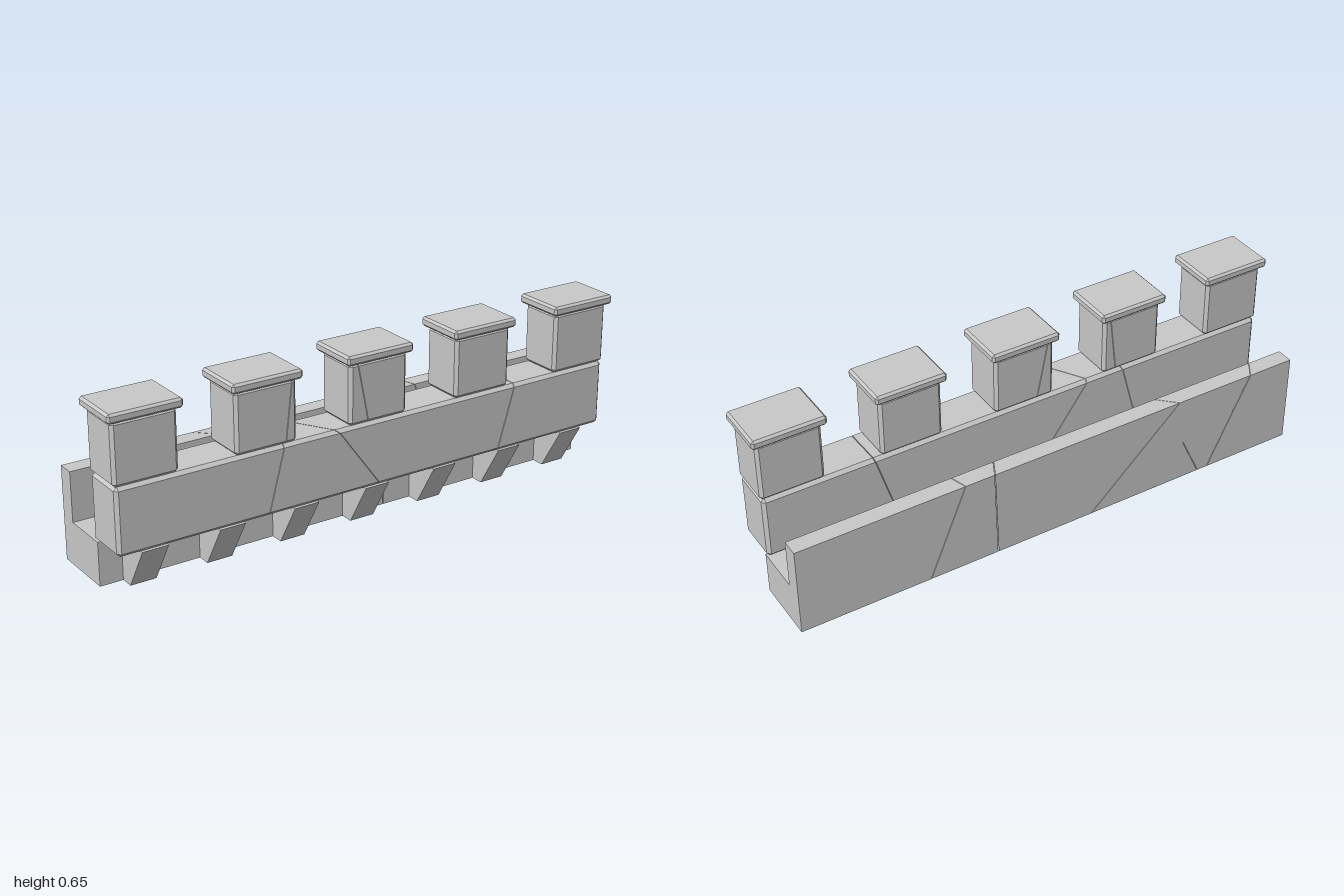
import * as THREE from 'three';

const GAP = 0.0025; // width of the fracture gaps

// A fracture plane or end plane: x = a + b*y + c*z
const plane = (a, b = 0, c = 0) => (z, y) => a + b * y + c * z;

// Rectangular cross-section in (z, y) with cut corners
function section(z0, z1, y0, y1, b = 0) {
  if (!b) return [[z1, y0], [z0, y0], [z0, y1], [z1, y1]];
  return [
    [z1 - b, y0], [z0 + b, y0], [z0, y0 + b], [z0, y1 - b],
    [z0 + b, y1], [z1 - b, y1], [z1, y1 - b], [z1, y0 + b],
  ];
}

// Loft a convex section along x between two planes; bevelled ends shrink inward
function loft(points, left, right, bevelLeft = 0, bevelRight = 0) {
  const zs = points.map(p => p[0]), ys = points.map(p => p[1]);
  const shrink = b => points.map(([z, y]) => [
    THREE.MathUtils.clamp(z, Math.min(...zs) + b, Math.max(...zs) - b),
    THREE.MathUtils.clamp(y, Math.min(...ys) + b, Math.max(...ys) - b),
  ]);
  const ring = (pts, at, dx) => pts.map(([z, y]) => new THREE.Vector3(at(z, y) + dx, y, z));
  const rings = [];
  if (bevelLeft) rings.push(ring(shrink(bevelLeft), left, 0));
  rings.push(ring(points, left, bevelLeft));
  rings.push(ring(points, right, -bevelRight));
  if (bevelRight) rings.push(ring(shrink(bevelRight), right, 0));

  const out = [];
  const tri = (...v) => v.forEach(p => out.push(p.x, p.y, p.z));
  const n = points.length;
  for (let i = 0; i + 1 < rings.length; i++) {
    for (let j = 0; j < n; j++) {
      const k = (j + 1) % n, A = rings[i], B = rings[i + 1];
      tri(A[j], A[k], B[k]);
      tri(A[j], B[k], B[j]);
    }
  }
  const first = rings[0], last = rings[rings.length - 1];
  for (let j = 1; j + 1 < n; j++) {
    tri(first[0], first[j + 1], first[j]);
    tri(last[0], last[j], last[j + 1]);
  }
  const geometry = new THREE.BufferGeometry();
  geometry.setAttribute('position', new THREE.Float32BufferAttribute(out, 3));
  geometry.computeVertexNormals();
  return geometry;
}

export function createModel() {
  const model = new THREE.Group();
  model.name = 'battlement';
  const stone = new THREE.MeshStandardMaterial({ color: 0xc8c8c8 });
  stone.name = 'paleGreyStone';

  // A block broken into pieces along a list of fracture planes, left to right
  function brokenBlock(name, points, x0, x1, cracks = [], bevel = 0) {
    const group = new THREE.Group();
    group.name = name;
    const cuts = [plane(x0), ...cracks, plane(x1)];
    const last = cuts.length - 2;
    for (let i = 0; i <= last; i++) {
      const left = i === 0 ? cuts[i] : (z, y) => cuts[i](z, y) + GAP / 2;
      const right = i === last ? cuts[i + 1] : (z, y) => cuts[i + 1](z, y) - GAP / 2;
      const geometry = loft(points, left, right, i === 0 ? bevel : 0, i === last ? bevel : 0);
      const mesh = new THREE.Mesh(geometry, stone);
      mesh.name = name + 'Piece';
      group.add(mesh);
    }
    model.add(group);
  }

  // Fractures running through the stonework
  const crackA = plane(-0.762, -0.5, -0.65);
  const crackB = plane(0.06, -1.07, 1);
  const crackC = plane(0.14, 0.03, -0.5);
  const crackD = plane(0.56, -0.42, 0.3);
  const floorCrack = plane(-0.554, 0.47, 0.2);
  const wallCrackLeft = plane(-0.51, 0.27, 0.2);
  const wallCrackMiddle = plane(0.017, -0.73, 0.6);
  const wallCrackRight = plane(0.46, 0.295, 0.02);

  // Walkway floor and low rear parapet
  brokenBlock('walkway', section(-0.197, 0.04, 0, 0.157), -0.98, 0.98,
    [crackA, floorCrack, crackB, crackC, crackD]);
  brokenBlock('rearParapet', section(-0.197, -0.134, 0.157, 0.336), -0.98, 0.98,
    [crackA, crackB, crackC, crackD]);

  // Front wall
  brokenBlock('frontWall', section(0.017, 0.182, 0.157, 0.395, 0.012), -0.98, 0.98,
    [wallCrackLeft, wallCrackMiddle, wallCrackRight], 0.012);

  // Merlons with overhanging cap stones
  const merlonCracks = { 1: [plane(-0.42, 0.12, 0.05)], 2: [plane(0.03, -0.2, 0.05)] };
  for (let i = 0; i < 5; i++) {
    const x = (i - 2) * 0.4345;
    brokenBlock('merlon', section(0.017, 0.182, 0.395, 0.614, 0.011),
      x - 0.115, x + 0.115, merlonCracks[i], 0.011);
    brokenBlock('merlonCap', section(0.001, 0.198, 0.613, 0.647, 0.008),
      x - 0.131, x + 0.131, [], 0.008);
  }

  // Sloped corbels under the front wall
  const corbel = [[0.088, 0], [0.04, 0], [0.04, 0.157], [0.182, 0.157]];
  for (let i = -3; i <= 3; i++) {
    const x = i * 0.2825 - 0.002;
    brokenBlock('corbel', corbel, x - 0.047, x + 0.047);
  }
  return model;
}
